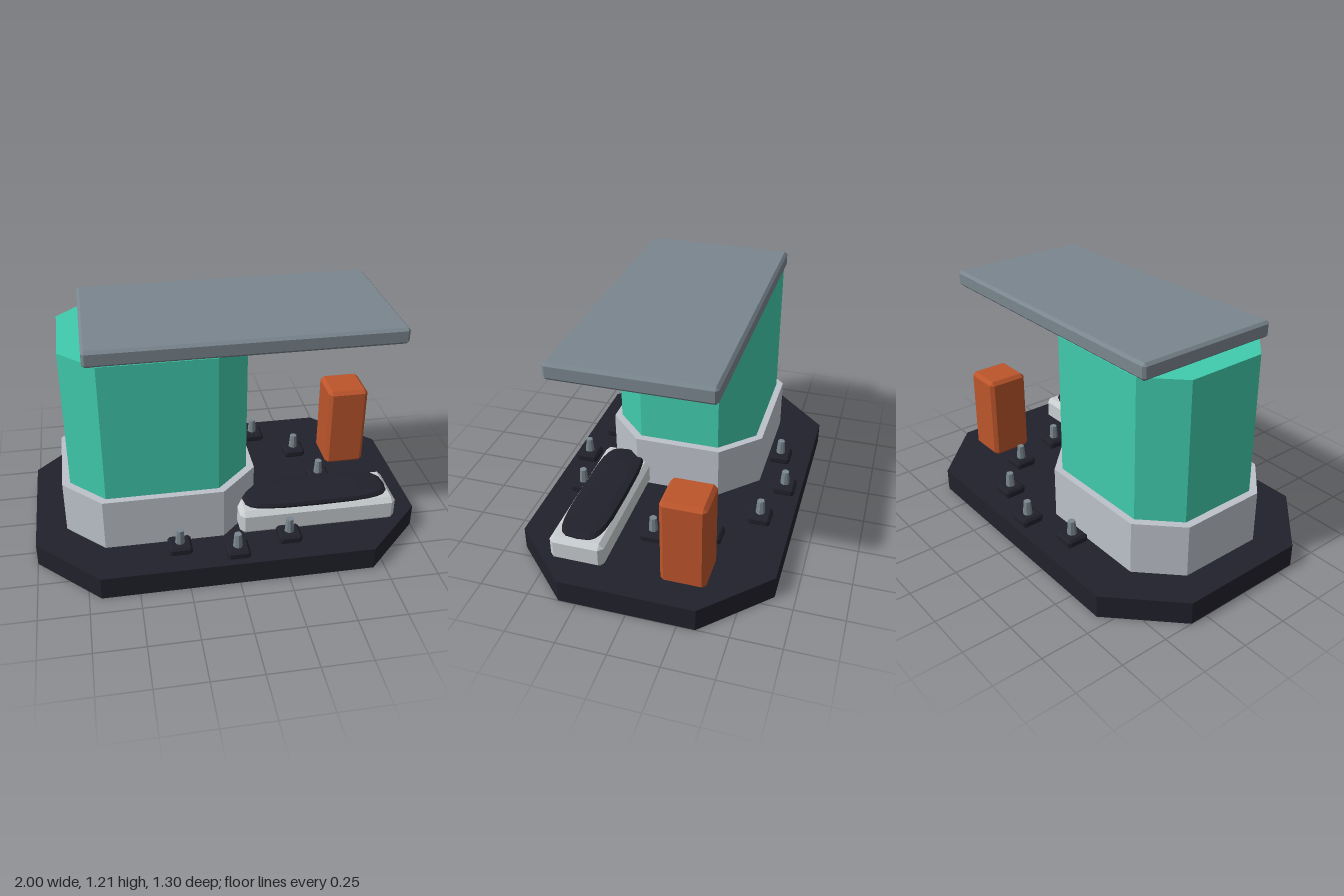
import * as THREE from 'three';
import { ConvexGeometry } from 'three/addons/geometries/ConvexGeometry.js';

const mat = (name, color, flatShading = true) => {
  const m = new THREE.MeshStandardMaterial({ color, flatShading });
  m.name = name;
  return m;
};

// Upright prism with an octagonal plan: half sizes hx, hz and corner cut c
function octagonPrism(hx, hz, c, y0, y1) {
  const shape = new THREE.Shape([
    [hx, hz - c], [hx - c, hz], [c - hx, hz], [-hx, hz - c],
    [-hx, c - hz], [c - hx, -hz], [hx - c, -hz], [hx, c - hz],
  ].map(([x, z]) => new THREE.Vector2(x, z)));
  const g = new THREE.ExtrudeGeometry(shape, { depth: y1 - y0, bevelEnabled: false });
  return g.rotateX(-Math.PI / 2).translate(0, y0, 0);
}

// Box with every edge chamfered by b
function chamferBox(w, h, d, b) {
  const points = [];
  for (const x of [-1, 1]) for (const y of [-1, 1]) for (const z of [-1, 1]) {
    for (let full = 0; full < 3; full++) {
      const inset = [b, b, b];
      inset[full] = 0;
      points.push(new THREE.Vector3(
        x * (w / 2 - inset[0]), y * (h / 2 - inset[1]), z * (d / 2 - inset[2])));
    }
  }
  return new ConvexGeometry(points);
}

// Low domed pad: a lathe whose plan is stretched into a rounded rectangle
function padGeometry(hx, hz) {
  const profile = [[0, 0], [0.97, 0], [1, 0.02], [0.94, 0.036], [0.6, 0.043], [0, 0.045]]
    .map(([r, y]) => new THREE.Vector2(r, y));
  const g = new THREE.LatheGeometry(profile, 24);
  const p = g.attributes.position;
  const soften = (v) => Math.sign(v) * Math.sqrt(Math.abs(v));
  for (let i = 0; i < p.count; i++) {
    const x = p.getX(i), z = p.getZ(i), r = Math.hypot(x, z);
    if (r < 1e-6) continue;
    p.setX(i, hx * r * soften(x / r));
    p.setZ(i, hz * r * soften(z / r));
  }
  g.computeVertexNormals();
  return g;
}

export function createModel() {
  const model = new THREE.Group();
  model.name = 'station';
  const dark = mat('dark slate', 0x20212b);
  const stone = mat('light grey', 0xbcc1c9);
  const shell = mat('pale grey', 0xc8cdd0);
  const teal = mat('teal', 0x41cbad);
  const steel = mat('steel grey', 0x7a868f);
  const orange = mat('burnt orange', 0xbc552b);

  const add = (name, geometry, material, x = 0, y = 0, z = 0, parent = model) => {
    const mesh = new THREE.Mesh(geometry, material);
    mesh.name = name;
    mesh.position.set(x, y, z);
    parent.add(mesh);
    return mesh;
  };

  // Platform, plinth, tower and overhanging roof
  add('platform', octagonPrism(1, 0.65, 0.31, 0, 0.12), dark);
  add('plinth', octagonPrism(0.493, 0.416, 0.19, 0.12, 0.397), stone, -0.348);
  add('tower', octagonPrism(0.453, 0.381, 0.17, 0.397, 1.128), teal, -0.348);
  add('roof', chamferBox(1.54, 0.084, 0.775, 0.014), steel, 0.08, 1.168, 0);

  // Upright cabinet
  add('cabinet', chamferBox(0.22, 0.47, 0.225, 0.019), orange, 0.755, 0.355, -0.238);

  // Bench with a dark domed pad
  add('bench', chamferBox(0.825, 0.136, 0.278, 0.024), shell, 0.452, 0.188, 0.296);
  add('benchPad', padGeometry(0.385, 0.12), dark, 0.452, 0.243, 0.296);

  // Ring of anchor bolts, wherever the platform is clear
  const blockGeometry = chamferBox(0.116, 0.048, 0.116, 0.012);
  const studGeometry = new THREE.CylinderGeometry(0.019, 0.025, 0.075, 8);
  for (const degrees of [-120, -90, -60, -30, 0, 60, 90, 120]) {
    const a = THREE.MathUtils.degToRad(degrees);
    const bolt = new THREE.Group();
    bolt.name = 'anchorBolt';
    bolt.position.set(0.562 * Math.cos(a), 0.12, 0.562 * Math.sin(a));
    add('boltBlock', blockGeometry, dark, 0, 0.023, 0, bolt);
    add('boltStud', studGeometry, steel, 0, 0.083, 0, bolt);
    model.add(bolt);
  }
  return model;
}
